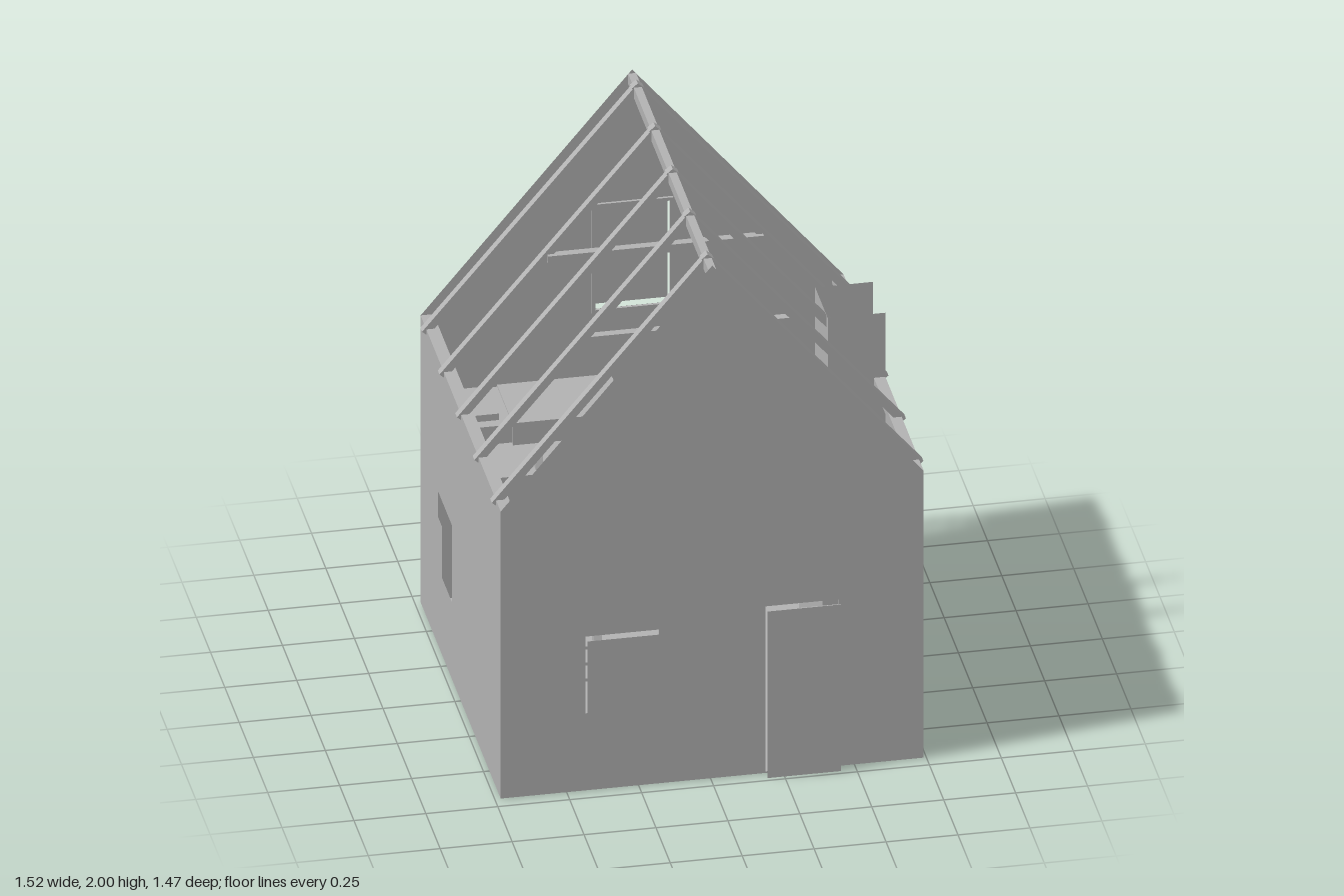
import * as THREE from 'three';

export function createModel() {
  const house = new THREE.Group();
  house.name = 'house';
  const grey = new THREE.MeshStandardMaterial({ color: 0xb2b2b2, side: THREE.DoubleSide, flatShading: true });
  grey.name = 'plain grey';

  const add = (name, geo, x = 0, y = 0, z = 0, parent = house) => {
    const m = new THREE.Mesh(geo, grey);
    m.name = name;
    m.position.set(x, y, z);
    parent.add(m);
    return m;
  };
  // Box given by its low and high corners
  const box = (name, x0, x1, y0, y1, z0, z1, parent = house) =>
    add(name, new THREE.BoxGeometry(x1 - x0, y1 - y0, z1 - z0), (x0 + x1) / 2, (y0 + y1) / 2, (z0 + z1) / 2, parent);
  // Thin upright sheets facing z or x
  const sheetZ = (name, x0, x1, y0, y1, z) =>
    add(name, new THREE.PlaneGeometry(x1 - x0, y1 - y0), (x0 + x1) / 2, (y0 + y1) / 2, z);
  const sheetX = (name, z0, z1, y0, y1, x) => {
    const m = add(name, new THREE.PlaneGeometry(z1 - z0, y1 - y0), x, (y0 + y1) / 2, (z0 + z1) / 2);
    m.rotation.y = Math.PI / 2;
    return m;
  };
  const disc = (name, r, h, x, y, z, sides = 8, parent = house) =>
    add(name, new THREE.CylinderGeometry(r, r, h, sides), x, y + h / 2, z, parent);

  const X0 = -0.73, X1 = 0.74, Z = 0.7, EAVE = 1.12, MID = 0.005;

  // Walls: outline with rectangular openings [a0, a1, y0, y1]
  const wall = (name, outline, openings) => {
    const s = new THREE.Shape(outline.map(([a, b]) => new THREE.Vector2(a, b)));
    for (const [a0, a1, y0, y1] of openings) {
      s.holes.push(new THREE.Path([[a0, y0], [a0, y1], [a1, y1], [a1, y0]].map(([a, b]) => new THREE.Vector2(a, b))));
    }
    return add(name, new THREE.ShapeGeometry(s));
  };
  const gable = [[X0, 0], [X1, 0], [X1, EAVE], [MID, 2], [X0, EAVE]];
  const side = [[-Z, 0], [Z, 0], [Z, EAVE], [-Z, EAVE]];
  const frontWindow = [-0.435, -0.18, 0.3, 0.6];
  const door = [0.19, 0.445, 0.002, 0.65];
  const backLow = [-0.125, 0.135, 0.3, 0.6];
  const backHigh = [-0.125, 0.135, 1.08, 1.48];
  const sideWindow = [-0.4, -0.15, 0.3, 0.6];
  wall('frontWall', gable, [frontWindow, door]).position.z = Z;
  wall('backWall', gable, [backLow, backHigh]).position.z = -Z;
  const rightWall = wall('rightWall', side, [sideWindow.map((v, i) => (i < 2 ? -v : v))]);
  rightWall.rotation.y = Math.PI / 2;
  rightWall.position.x = X0;
  sheetX('leftWall', -Z, Z, 0, EAVE, X1);
  box('rightWallPlate', X0, -0.685, 1.09, EAVE, -Z, Z);
  box('leftWallPlate', 0.7, X1, 1.09, EAVE, -Z, Z);
  box('groundFloor', X0, X1, 0, 0.006, -Z, Z);

  // Panes and door leaf stand just outside their openings
  const PANE = 0.035;
  sheetZ('frontPane', ...frontWindow, Z + PANE);
  sheetZ('backLowerPane', ...backLow, -Z - PANE);
  sheetZ('backUpperPane', ...backHigh, -Z - PANE);
  sheetX('sidePane', ...sideWindow, X0 - PANE);
  box('door', 0.19, 0.445, 0, 0.65, Z + 0.033, Z + 0.037);
  box('doorHandle', 0.38, 0.39, 0.34, 0.35, Z - 0.005, Z + PANE);

  // Slim frames inside the openings
  const frame = (name, [x0, x1, y0, y1], z, sill) => {
    const g = new THREE.Group();
    g.name = name;
    house.add(g);
    const t = 0.012, d = 0.005;
    for (const x of [x0 - t, x1]) box('frameSide', x, x + t, y0, y1, z - d, z + d, g);
    box('frameTop', x0 - t, x1 + t, y1, y1 + t, z - d, z + d, g);
    if (sill) box('frameSill', x0 - t, x1 + t, y0 - t, y0, z - d, z + d, g);
  };
  frame('frontWindowFrame', frontWindow, Z - 0.006, true);
  frame('doorFrame', door, Z - 0.006, false);
  frame('backLowerFrame', backLow, -Z + 0.006, true);
  frame('backUpperFrame', backHigh, -Z + 0.006, true);

  // Open roof: ridge beam, rafter pairs and two collar ties
  box('ridgeBeam', MID - 0.014, MID + 0.014, 1.945, 1.985, -Z, Z);
  const run = 0.75, rise = 0.888, len = Math.hypot(run, rise), t = 0.028;
  for (const z of [0.605, 0.3, -0.005, -0.31, -0.615]) {
    for (const s of [-1, 1]) {
      const r = add('rafter', new THREE.BoxGeometry(len, t, 0.03),
        MID + s * (run / 2 - (rise / len) * t / 2), 2 - rise / 2 - (run / len) * t / 2, z);
      r.rotation.z = -s * Math.atan2(rise, run);
    }
  }
  for (const z of [0.285, -0.295]) box('collarTie', -0.37, 0.38, 1.51, 1.54, z - 0.015, z + 0.015);

  // Sleeping loft across the back
  const LOFT = 0.7;
  box('loftFloor', X0, X1, LOFT - 0.03, LOFT, -Z, -0.27);

  // Beds with four posts
  const bed = (name, x0, x1, pillow, blanket) => {
    const g = new THREE.Group();
    g.name = name;
    house.add(g);
    for (const x of [x0, x1 - 0.025]) {
      for (const z of [-0.68, -0.415]) box('bedPost', x, x + 0.025, LOFT, LOFT + 0.16, z, z + 0.025, g);
    }
    box('mattress', x0 + 0.012, x1 - 0.012, LOFT + 0.06, LOFT + 0.13, -0.67, -0.4, g);
    box('pillow', ...pillow, LOFT + 0.13, LOFT + 0.155, -0.635, -0.44, g);
    box('blanket', ...blanket, LOFT + 0.05, LOFT + 0.136, -0.673, -0.397, g);
  };
  bed('rightBed', -0.67, -0.06, [-0.645, -0.51], [-0.47, -0.075]);
  bed('leftBed', 0.075, 0.69, [0.525, 0.655], [0.09, 0.485]);

  // Steep stair up to the loft
  const stair = new THREE.Group();
  stair.name = 'stair';
  house.add(stair);
  const steps = 14;
  for (let i = 0; i < steps; i++) {
    const k = (i + 0.5) / steps;
    box('tread', -0.38, -0.255, k * LOFT - 0.006, k * LOFT + 0.006, -0.02 - k * 0.3 - 0.018, -0.02 - k * 0.3 + 0.018, stair);
  }
  for (const x of [-0.395, -0.24]) {
    const m = add('stringer', new THREE.BoxGeometry(0.028, Math.hypot(0.74, 0.32), 0.035), x, 0.375, -0.18, stair);
    m.rotation.x = -Math.atan2(0.32, 0.74);
  }

  // Hearth with an open-sided flue through the roof
  box('hearthStep', 0.43, 0.5, 0, 0.08, -0.27, 0.12);
  box('hearth', 0.5, X1 - 0.005, 0, 0.4, -0.27, 0.14);
  sheetZ('flueFront', 0.54, X1, 0.4, 1.37, 0.03);
  sheetZ('flueBack', 0.54, X1, 0.4, 1.37, -0.19);
  sheetX('flueInner', -0.19, 0.03, 0.4, 1.37, 0.54);

  // Round stools
  for (const [x, z] of [[-0.6, 0.145], [0.33, -0.215], [0.05, 0.615]]) {
    const g = new THREE.Group();
    g.name = 'stool';
    house.add(g);
    disc('stoolSeat', 0.053, 0.018, x, 0.18, z, 10, g);
    for (let i = 0; i < 3; i++) {
      const a = Math.PI / 2 + i * Math.PI * 2 / 3;
      disc('stoolLeg', 0.007, 0.18, x + 0.045 * Math.cos(a), 0, z + 0.045 * Math.sin(a), 6, g);
    }
  }

  // Kitchen counter with hob, basin and pots
  box('counter', X0 + 0.005, -0.495, 0, 0.29, 0.24, 0.69);
  box('hob', -0.67, -0.605, 0.29, 0.296, 0.25, 0.34);
  box('basin', -0.645, -0.555, 0.29, 0.298, 0.38, 0.5);
  for (const [r, h, x, z] of [[0.026, 0.05, -0.655, 0.55], [0.014, 0.04, -0.54, 0.555], [0.009, 0.03, -0.58, 0.535], [0.022, 0.05, -0.55, 0.65]])
    disc('pot', r, h, x, 0.29, z);

  // Low table
  box('tableTop', -0.45, -0.35, 0.15, 0.17, 0.26, 0.49);
  for (const x of [-0.445, -0.367]) for (const z of [0.27, 0.465]) box('tableLeg', x, x + 0.012, 0, 0.15, z, z + 0.012);

  // Sofa
  box('sofaSeat', -0.45, -0.15, 0.03, 0.13, 0.51, 0.67);
  const back = box('sofaBack', -0.45, -0.15, 0.12, 0.27, 0.635, 0.665);
  back.rotation.x = 0.15;

  // Row of growing round plants on the left wall
  [[0.15, 0.012], [0.27, 0.022], [0.39, 0.028], [0.5, 0.036], [0.62, 0.048]].forEach(([z, r]) =>
    add('wallPlant', new THREE.IcosahedronGeometry(r, 1), 0.722 - r, 0.45, z));

  // Framed panel and ledge high on the front wall
  frame('wallFrame', [-0.12, 0.14, 0.92, 1.19], Z - 0.012, true);
  box('wallLedge', -0.14, 0.16, 0.89, 0.908, 0.66, Z - 0.003);

  return house;
}
